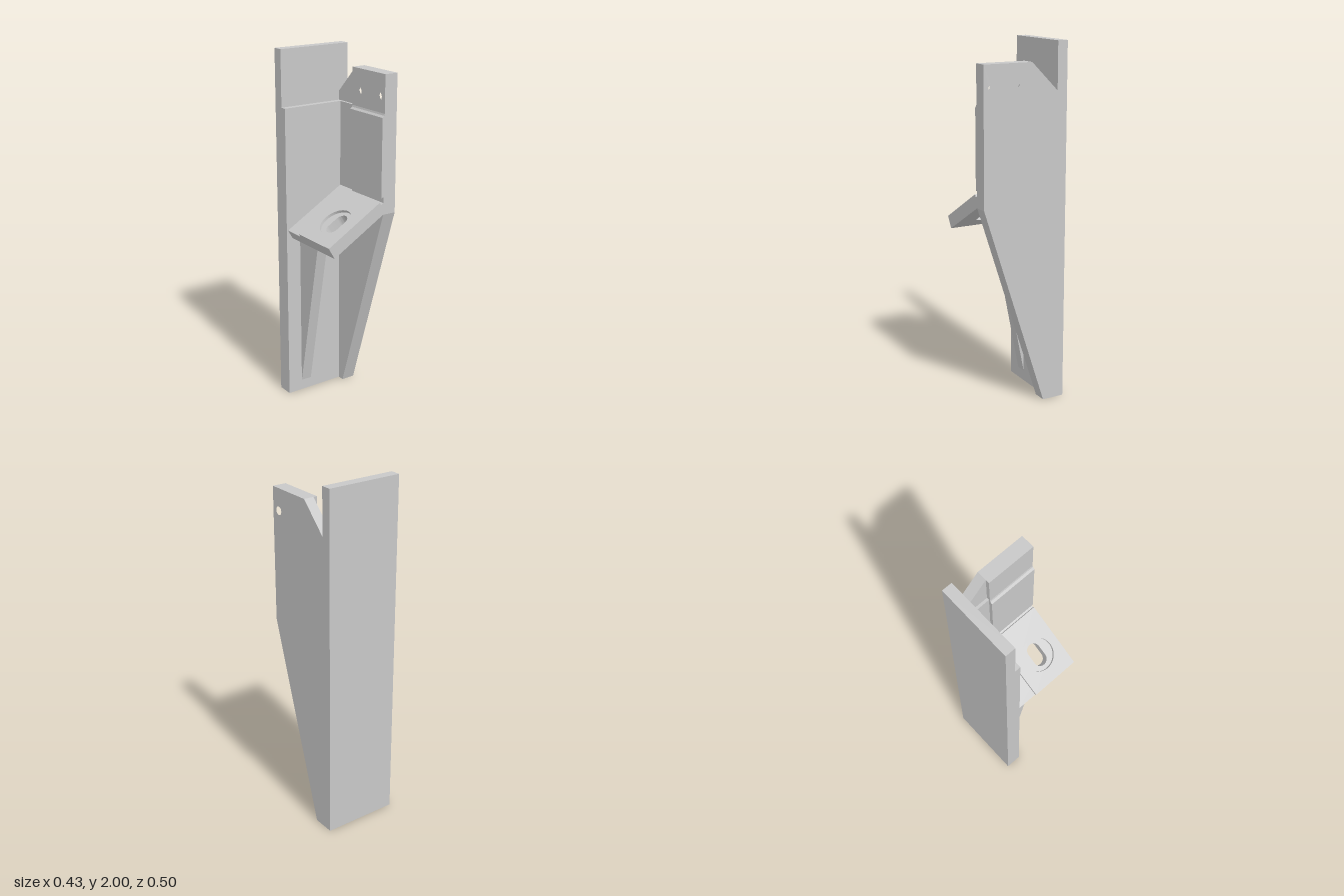
import * as THREE from 'three';
import { toCreasedNormals } from 'three/addons/utils/BufferGeometryUtils.js';

const W = 0.217;  // half width
const D = 0.2485; // half depth
const grey = new THREE.MeshStandardMaterial({ color: 0xc8c8c8 });
grey.name = 'light grey';

function polygon(points, holes = []) {
  const shape = new THREE.Shape(points.map(([x, y]) => new THREE.Vector2(x, y)));
  shape.holes.push(...holes);
  return shape;
}

function circle(x, y, r) {
  return new THREE.Path().absarc(x, y, r, 0, Math.PI * 2, true);
}

// The crease angle keeps the wall's shallow bend sharp and the holes smooth
function extrude(shape, depth) {
  const geometry = new THREE.ExtrudeGeometry(shape, { depth, bevelEnabled: false, curveSegments: 32 });
  return toCreasedNormals(geometry, 0.25);
}

export function createModel() {
  const model = new THREE.Group();
  model.name = 'angledBracket';

  const add = (name, geometry) => {
    const mesh = new THREE.Mesh(geometry, grey);
    mesh.name = name;
    model.add(mesh);
  };
  const box = (name, x0, x1, y0, y1, z0, z1) => add(name,
    new THREE.BoxGeometry(x1 - x0, y1 - y0, z1 - z0)
      .translate((x0 + x1) / 2, (y0 + y1) / 2, (z0 + z1) / 2));
  // Side profile of [z, y] points, extruded across x
  const across = (name, points, x0, x1, holes = []) => add(name,
    extrude(polygon(points.map(([z, y]) => [-z, y]), holes), x1 - x0)
      .rotateY(Math.PI / 2).translate(x0, 0, 0));

  // Back plate, thicker below the ledge
  box('backPlate', -W, W, 0, 2, -D, -0.19);
  box('backPlateThickening', -W, 0.16, 0, 1.69, -0.19, -0.157);

  // Side wall in three layers, with two through holes
  const holes = () => [0.198, 0.023].map((z) => circle(-z, 1.774, 0.023));
  const front = [[-0.12, 0], [D, 1.14], [D, 1.896], [-0.035, 1.896]];
  across('sideWallOuter', [[-0.19, 0], ...front, [-0.19, 1.741]], 0.16, W, holes());
  across('sideWallMiddle', [[-0.157, 0], ...front, [-0.035, 1.69], [-0.157, 1.69]], 0.145, 0.16, holes());
  across('sideWallInner', [[-0.157, 0], ...front, [-0.035, 1.17], [-0.157, 1.17]], 0.138, 0.145, holes());

  // Raised pad on the wall, chamfered on top and stopping above the relief groove
  add('wallPad', extrude(polygon([
    [0.138, 1.238], [0.138, 1.69], [0.135, 1.68], [0.124, 1.67], [0.124, 1.23], [0.132, 1.238],
  ]), D + 0.035).translate(0, 0, -0.035));

  // Sloping platform: layers stacked along its normal; shape axes are [slope, -z]
  const slab = (name, length, zBack, hole, bottom, top) => add(name,
    extrude(polygon([[0, -D], [length, -D], [length, -zBack], [0, -zBack]], [hole]), top - bottom)
      .translate(0, 0, bottom)
      .rotateX(-Math.PI / 2).rotateZ(Math.PI / 6).translate(-W, 1.02, 0));
  const u = 0.165, v = -0.107, r = 0.0385, half = 0.03;
  const slot = new THREE.Path()
    .absarc(u + half, v, r, -Math.PI / 2, Math.PI / 2, false)
    .absarc(u - half, v, r, Math.PI / 2, Math.PI * 1.5, false);
  slot.closePath();
  slab('platformBase', 0.43, -0.157, slot, -0.073, -0.016);
  slab('platformTop', 0.383, -0.035, circle(u, v, 0.0925), -0.016, 0);

  // Tapered rib under the platform
  across('supportRib', [[-0.157, 0.06], [0.025, 0.975], [-0.157, 0.975]], -0.13, -0.067);

  return model;
}
